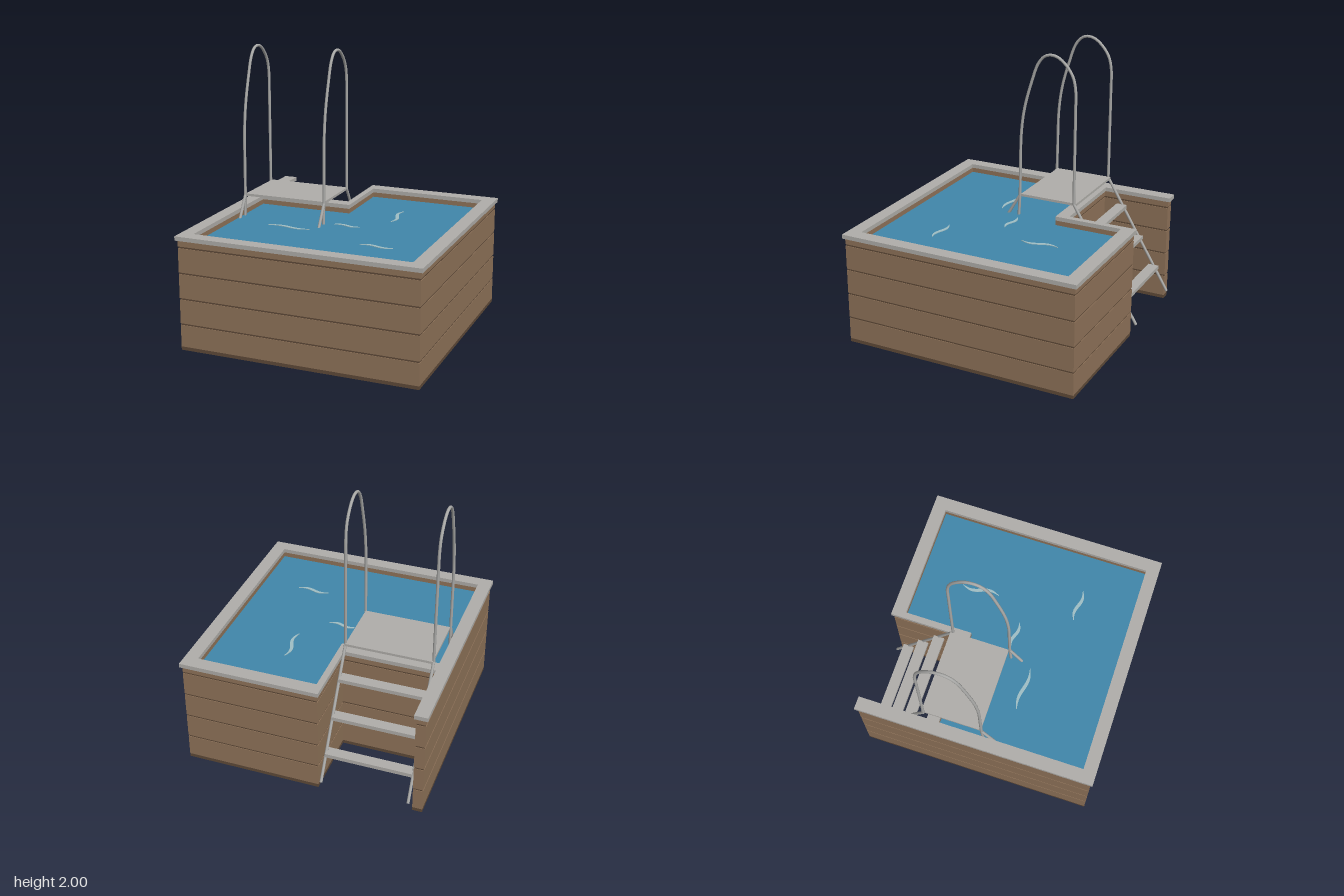
import * as THREE from 'three';

const flat = (name, color) => {
  const m = new THREE.MeshStandardMaterial({ color });
  m.name = name;
  return m;
};

export function createModel() {
  const group = new THREE.Group();
  const mats = {
    wood: flat('brown wood', 0x8f7359),
    dark: flat('dark wood', 0x5f4a38),
    coping: flat('light grey', 0xb0aeaa),
    steel: flat('steel grey', 0xa9a9a7),
    water: flat('water blue', 0x4187aa),
    liner: flat('pale blue', 0xa0bfc5),
  };

  const add = (name, geometry, material, parent = group) => {
    const mesh = new THREE.Mesh(geometry, material);
    mesh.name = name;
    parent.add(mesh);
    return mesh;
  };

  // Outer plan (x, z) with the ladder notch, shrunk by d; the notch sides shrink by n
  const outer = (d, n = d) => [
    [-0.885 + d, 0.893 - d], [0.88 - d, 0.893 - d], [0.88 - d, -0.873 + d],
    [-0.13 + n, -0.873 + d], [-0.13 + n, -0.36 + n], [-0.79 - n, -0.36 + n],
    [-0.79 - n, -0.873 + d], [-0.885 + d, -0.873 + d],
  ];
  // Inner basin plan, shrunk by d
  const inner = (d) => [
    [-0.79 + d, 0.798 - d], [0.783 - d, 0.798 - d], [0.783 - d, -0.773 + d],
    [-0.085 + d, -0.773 + d], [-0.085 + d, -0.27 + d], [-0.79 + d, -0.27 + d],
  ];
  // Horizontal slab from a plan, with an optional hole, between two heights
  const slab = (plan, hole, y0, y1) => {
    const pts = (p) => p.map(([x, z]) => new THREE.Vector2(x, -z));
    const shape = new THREE.Shape(pts(plan));
    if (hole) shape.holes.push(new THREE.Path(pts(hole)));
    const g = new THREE.ExtrudeGeometry(shape, { depth: y1 - y0, bevelEnabled: false });
    return g.rotateX(-Math.PI / 2).translate(0, y0, 0);
  };

  // Walls: dark base, dark core showing in the gaps, and wood boards
  add('wallBase', slab(outer(0.015, 0.01), inner(0), 0.01, 0.035), mats.dark);
  add('wallCore', slab(outer(0.019, 0.014), inner(-0.004), 0.03, 0.8), mats.dark);
  const seams = [0.029, 0.2, 0.385, 0.57, 0.755, 0.811];
  for (let i = 0; i < seams.length - 1; i++) {
    add('wallBoard', slab(outer(0.015, 0.01), inner(0), seams[i] + 0.006, seams[i + 1] - 0.006), mats.wood);
  }
  add('coping', slab(outer(0), inner(0), 0.805, 0.835), mats.coping);

  // Basin lining, open underneath, and the water
  add('linerSkirt', slab(inner(0.001), inner(0.005), 0.012, 0.085), mats.liner);
  add('floor', slab(inner(0.001), null, 0.08, 0.09), mats.liner);
  add('water', slab(inner(0), null, 0.755, 0.77), mats.water);

  // Tapered S-shaped ripples: centre x, centre z, length, swing, turned
  const ripples = [
    [0.275, -0.32, 0.28, 0.018, true],
    [0.02, 0.03, 0.2, 0.013, false],
    [-0.35, 0.215, 0.32, 0.014, false],
    [0.385, 0.4, 0.24, 0.014, false],
  ];
  for (const [cx, cz, len, swing, turned] of ripples) {
    const near = [], far = [];
    for (let i = 0; i <= 20; i++) {
      const t = i / 20;
      const along = (t - 0.5) * len;
      const side = -swing * Math.sin(t * Math.PI * 2);
      const w = 0.002 + 0.011 * Math.sin(t * Math.PI);
      const at = (s) => (turned ? [cx + s, cz + along] : [cx + along, cz + s]);
      near.push(at(side + w));
      far.unshift(at(side - w));
    }
    add('ripple', slab([...near, ...far], null, 0.769, 0.774), mats.liner);
  }

  // Ladder: two hooped rails with splayed legs, a platform and three treads
  const ladder = new THREE.Group();
  ladder.name = 'ladder';
  group.add(ladder);
  const R = 0.0105;
  const hoop = [
    [0.06, 0.7], [0.047, 0.92], [0.043, 1.15], [0.037, 1.39], [0.012, 1.58], [-0.046, 1.79],
    [-0.092, 1.915], [-0.14, 1.973], [-0.19, 1.989], [-0.25, 1.975], [-0.315, 1.92],
    [-0.36, 1.85], [-0.38, 1.76], [-0.382, 1.6], [-0.382, 1.2], [-0.382, 0.92],
  ];
  const rod = (name, x, [z0, y0], [z1, y1]) => {
    const a = new THREE.Vector3(x, y0, z0), b = new THREE.Vector3(x, y1, z1);
    const m = add(name, new THREE.CylinderGeometry(R, R, a.distanceTo(b), 10), mats.steel, ladder);
    m.position.copy(a).lerp(b, 0.5);
    m.quaternion.setFromUnitVectors(new THREE.Vector3(0, 1, 0), b.sub(a).normalize());
  };
  for (const x of [-0.778, -0.151]) {
    const path = new THREE.CatmullRomCurve3(hoop.map(([z, y]) => new THREE.Vector3(x, y, z)));
    add('handrail', new THREE.TubeGeometry(path, 80, R, 10), mats.steel, ladder);
    rod('outerLeg', x, [-0.382, 0.925], [-0.888, 0.088]);
    rod('innerLeg', x, [0.045, 0.925], [0.588, 0.006]);
  }
  const board = (name, y, z, h, depth) => {
    add(name, new THREE.BoxGeometry(0.622, h, depth), mats.coping, ladder).position.set(-0.4645, y, z);
  };
  board('platform', 0.922, -0.18, 0.018, 0.44);
  for (const [y, z] of [[0.27, -0.775], [0.49, -0.64], [0.715, -0.5]]) {
    board('tread', y, z, 0.028, 0.08);
  }

  return group;
}
